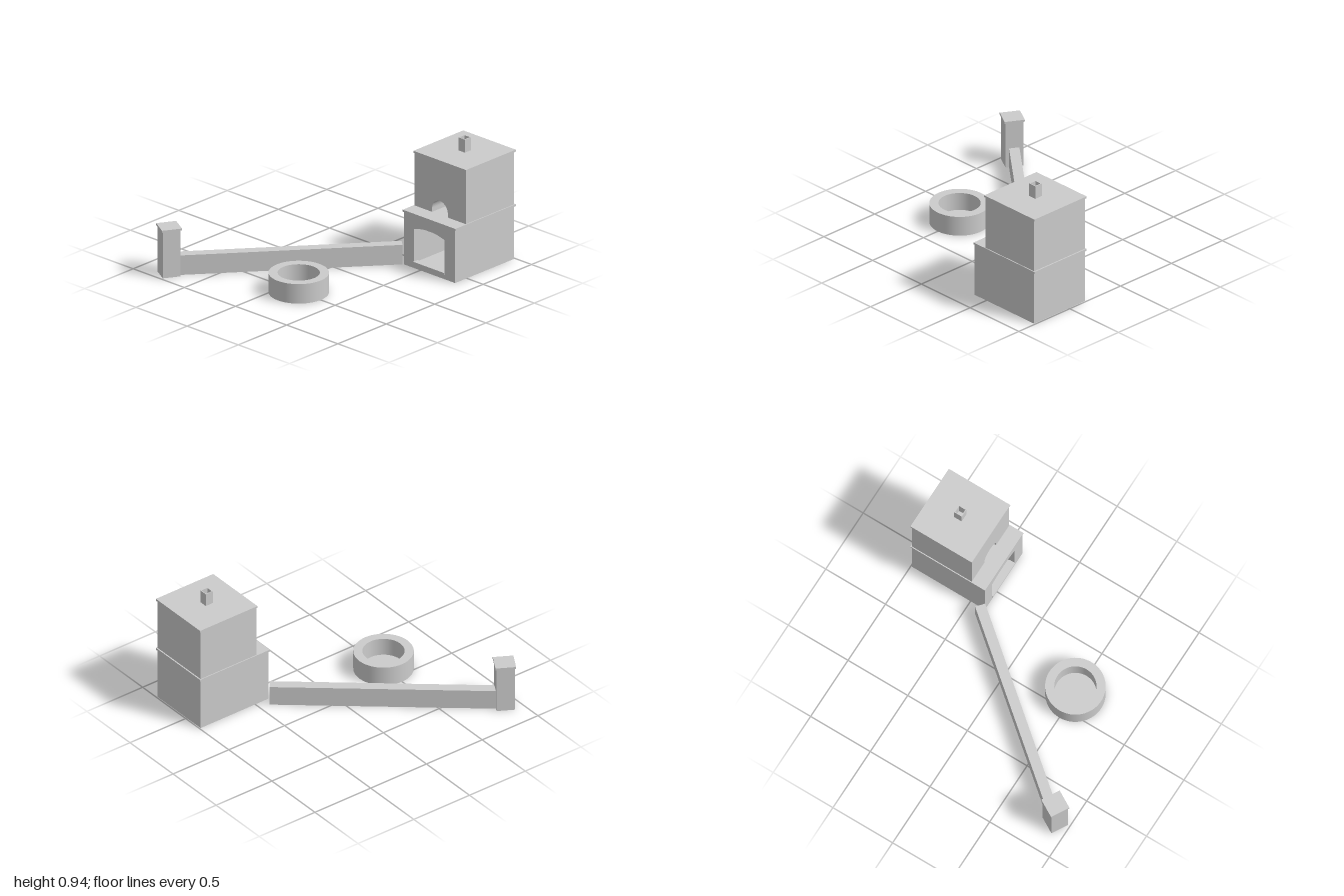
import * as THREE from 'three';

const grey = new THREE.MeshStandardMaterial({ color: 0xcccccc });

function add(parent, name, geometry) {
  const mesh = new THREE.Mesh(geometry, grey);
  mesh.name = name;
  parent.add(mesh);
  return mesh;
}

// Box given by its limits on each axis
function block(parent, name, x0, x1, y0, y1, z0, z1) {
  const mesh = add(parent, name, new THREE.BoxGeometry(x1 - x0, y1 - y0, z1 - z0));
  mesh.position.set((x0 + x1) / 2, (y0 + y1) / 2, (z0 + z1) / 2);
  return mesh;
}

function rectangle(PathType, x0, x1, y0, y1) {
  const p = new PathType();
  p.moveTo(x0, y0);
  p.lineTo(x1, y0);
  p.lineTo(x1, y1);
  p.lineTo(x0, y1);
  p.closePath();
  return p;
}

// Front-facing shape extruded from z0 to z1
function slice(parent, name, shape, z0, z1) {
  const mesh = add(parent, name, new THREE.ExtrudeGeometry(shape, {
    depth: z1 - z0, bevelEnabled: false, curveSegments: 20,
  }));
  mesh.position.z = z0;
  return mesh;
}

function createOven() {
  const oven = new THREE.Group();
  oven.name = 'oven';
  const x0 = 0.34, x1 = 0.84;

  // Lower firebox: arched front panel, hollow chamber, solid back
  const front = rectangle(THREE.Shape, x0, x1, 0, 0.405);
  const mouth = new THREE.Path();
  mouth.moveTo(0.437, 0.04);
  mouth.lineTo(0.737, 0.04);
  mouth.lineTo(0.737, 0.3);
  mouth.quadraticCurveTo(0.587, 0.35, 0.437, 0.3);
  mouth.closePath();
  front.holes.push(mouth);
  slice(oven, 'fireboxFront', front, -0.42, -0.38);

  const chamber = rectangle(THREE.Shape, x0, x1, 0, 0.405);
  chamber.holes.push(rectangle(THREE.Path, 0.437, 0.737, 0.04, 0.3));
  slice(oven, 'fireboxChamber', chamber, -0.9, -0.42);
  block(oven, 'fireboxBack', x0, x1, 0, 0.405, -0.99, -0.9);
  block(oven, 'fireboxSill', 0.437, 0.737, 0.035, 0.05, -0.42, -0.373);
  block(oven, 'worktop', 0.333, 0.847, 0.405, 0.42, -1, -0.375);

  // Upper oven with a round-headed opening down to the worktop
  const upper = new THREE.Shape();
  upper.moveTo(x0, 0.42);
  upper.lineTo(0.511, 0.42);
  upper.lineTo(0.511, 0.448);
  upper.absarc(0.588, 0.448, 0.077, Math.PI, 0, true);
  upper.lineTo(0.665, 0.42);
  upper.lineTo(x1, 0.42);
  upper.lineTo(x1, 0.825);
  upper.lineTo(x0, 0.825);
  upper.closePath();
  slice(oven, 'upperOven', upper, -0.9, -0.49);
  block(oven, 'upperOvenBack', x0, x1, 0.42, 0.825, -0.99, -0.9);
  block(oven, 'roofSlab', 0.333, 0.847, 0.825, 0.84, -1, -0.485);

  // Hollow square chimney
  const flue = rectangle(THREE.Shape, -0.032, 0.032, -0.032, 0.032);
  flue.holes.push(rectangle(THREE.Path, -0.026, 0.026, -0.026, 0.026));
  const chimney = add(oven, 'chimney', new THREE.ExtrudeGeometry(flue, { depth: 0.1, bevelEnabled: false }));
  chimney.rotation.x = -Math.PI / 2;
  chimney.position.set(0.59, 0.84, -0.743);
  return oven;
}

function createWall() {
  const wall = new THREE.Group();
  wall.name = 'gardenWall';
  const a = new THREE.Vector2(0.305, -0.398), b = new THREE.Vector2(-0.72, 0.843);
  const d = b.clone().sub(a), half = d.length() / 2;
  block(wall, 'wallBody', -half, half, 0, 0.14, -0.0375, 0.0375);
  block(wall, 'wallCoping', -half, half, 0.14, 0.15, -0.0375, 0.0375);
  wall.position.set((a.x + b.x) / 2, 0, (a.y + b.y) / 2);
  wall.rotation.y = Math.atan2(-d.y, d.x);
  return wall;
}

function createPost() {
  const post = new THREE.Group();
  post.name = 'endPost';
  block(post, 'postBody', -0.066, 0.066, 0, 0.355, -0.066, 0.066);
  block(post, 'postCap', -0.074, 0.074, 0.355, 0.37, -0.074, 0.074);
  post.position.set(-0.75, 0, 0.893);
  post.rotation.y = -Math.PI / 6;
  return post;
}

// Round fire pit, closed underneath; doubled profile points keep edges sharp
function createPit() {
  const corners = [[0, 0], [0.215, 0], [0.215, 0.15], [0.15, 0.15], [0.15, 0.015], [0, 0.015]];
  const pit = new THREE.Group();
  pit.name = 'firePit';
  const names = ['pitBase', 'pitOuterWall', 'pitRim', 'pitInnerWall', 'pitFloor'];
  names.forEach((name, i) => {
    const profile = [corners[i], corners[i + 1]].map(([r, y]) => new THREE.Vector2(r, y));
    add(pit, name, new THREE.LatheGeometry(profile, 64));
  });
  pit.position.set(0.145, 0, 0.5);
  return pit;
}

export function createModel() {
  const model = new THREE.Group();
  model.name = 'gardenOven';
  model.add(createOven(), createWall(), createPost(), createPit());
  return model;
}
